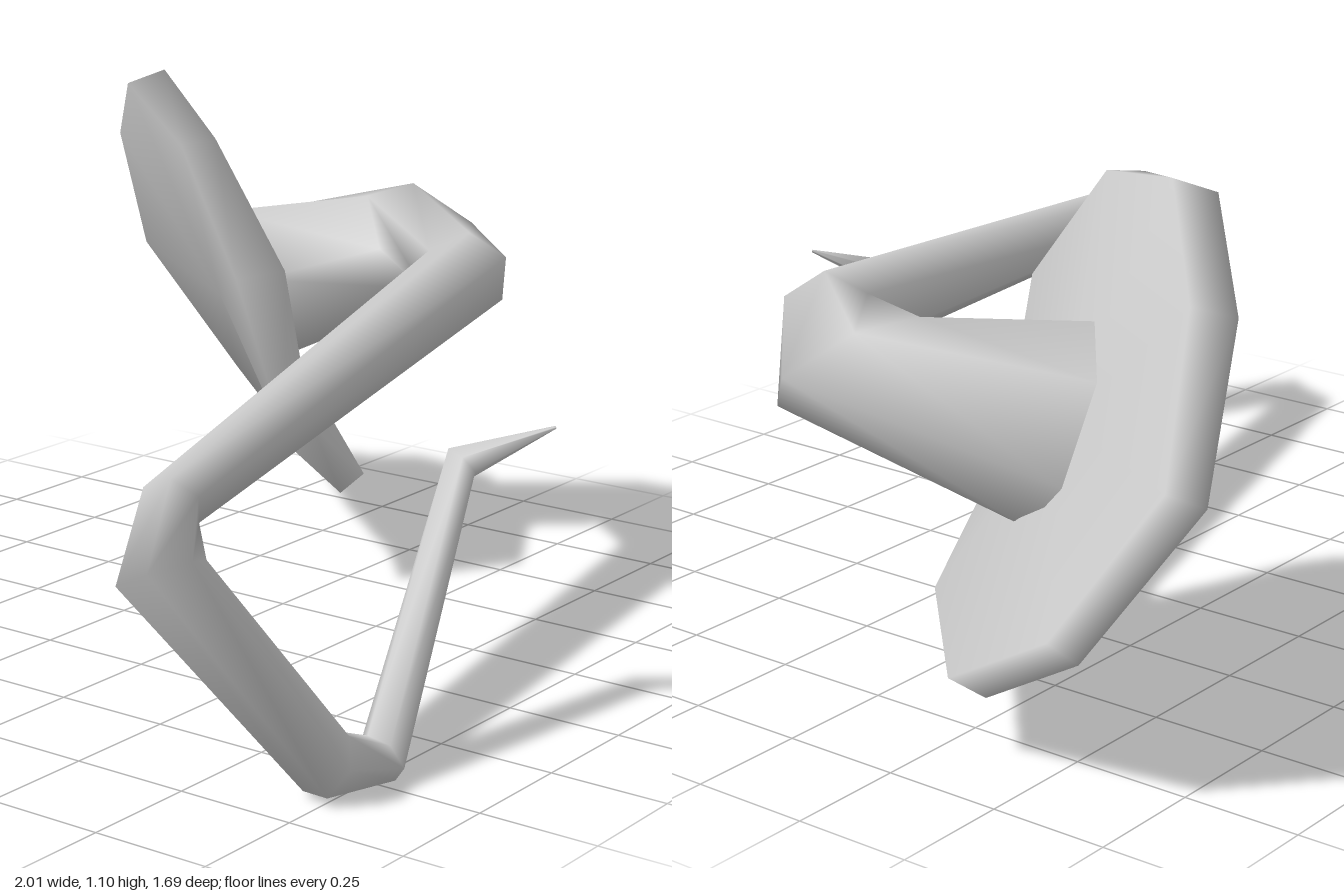
import * as THREE from 'three';

const V = (x, y, z) => new THREE.Vector3(x, y, z);
const SIDES = 6;

// Builds an indexed geometry with smooth normals
function surface(points, index) {
  const g = new THREE.BufferGeometry().setFromPoints(points);
  g.setIndex(index);
  g.computeVertexNormals();
  return g;
}

// Six-sided tube of varying radius; frames are carried along without twist.
// The first rings take the given directions, the rest follow the path.
function taperedTube(path, startTangents, startSide) {
  const centers = path.map(([x, y, z]) => V(x, y, z));
  const points = [], index = [];
  const side = startSide.clone();
  centers.forEach((c, i) => {
    let t;
    if (i < startTangents.length) t = startTangents[i].clone().normalize();
    else {
      t = c.clone().sub(centers[i - 1]).normalize();
      if (i < centers.length - 1) t.add(centers[i + 1].clone().sub(c).normalize()).normalize();
    }
    side.addScaledVector(t, -side.dot(t)).normalize();
    const up = t.clone().cross(side);
    for (let j = 0; j < SIDES; j++) {
      const a = (j / SIDES) * Math.PI * 2, r = path[i][3];
      points.push(c.clone().addScaledVector(side, Math.cos(a) * r).addScaledVector(up, Math.sin(a) * r));
    }
  });
  for (let i = 0; i < centers.length - 1; i++) {
    for (let j = 0; j < SIDES; j++) {
      const k = (j + 1) % SIDES;
      const a = i * SIDES + j, b = i * SIDES + k, c = b + SIDES, d = a + SIDES;
      index.push(a, b, c, a, c, d);
    }
  }
  return surface(points, index);
}

export function createModel() {
  const model = new THREE.Group();
  const grey = new THREE.MeshStandardMaterial({ color: 0xcccccc });
  grey.name = 'plain grey';
  const add = (name, geometry) => {
    const mesh = new THREE.Mesh(geometry, grey);
    mesh.name = name;
    model.add(mesh);
  };

  // Bent stem: x, y, z, radius from the flared neck to the pointed tip
  const normal = V(0.66, 0.36, 0.66).normalize();
  add('bentStem', taperedTube([
    [0.62, 0.615, -0.36, 0.205],
    [0.85, 0.735, -0.035, 0.165],
    [0.625, 0.715, 0.22, 0.098],
    [-0.815, 0.585, 0.53, 0.06],
    [-0.92, 0.495, 0.59, 0.086],
    [-0.615, 0.075, 0.735, 0.07],
    [-0.48, 0.052, 0.767, 0.053],
    [-0.13, 0.54, 0.705, 0.04],
    [0, 0.605, 0.838, 0.003],
  ], [normal, V(-0.1, 0.75, 0.66)], V(0.08, -0.17, 0.02)));

  // Nine-sided tilted dish: front loop, slightly wider back loop
  const front = [
    [0.54, 1.11, -0.56], [0.29, 1.02, -0.22], [0.25, 0.76, 0], [0.34, 0.4, 0.01], [0.63, 0.21, -0.05],
    [0.9, 0.18, -0.31], [0.97, 0.35, -0.6], [0.86, 0.64, -0.78], [0.72, 0.94, -0.73],
  ];
  const back = [
    [0.48, 1.08, -0.62], [0.22, 1.01, -0.26], [0.155, 0.75, -0.06], [0.29, 0.36, -0.02], [0.58, 0.17, -0.08],
    [0.85, 0.135, -0.36], [0.94, 0.31, -0.65], [0.83, 0.62, -0.85], [0.67, 0.92, -0.8],
  ];
  const loops = [front, back].map((loop) => loop.map((p) => V(...p)));
  const centers = loops.map((loop) => loop.reduce((s, p) => s.add(p), V(0, 0, 0)).divideScalar(loop.length));
  const index = [], n = front.length;
  for (let i = 0; i < n; i++) {
    const k = (i + 1) % n;
    index.push(2 * n, i, k, 2 * n + 1, k + n, i + n);
    index.push(i, i + n, k + n, i, k + n, k);
  }
  add('dish', surface([...loops[0], ...loops[1], ...centers], index));

  return model;
}
